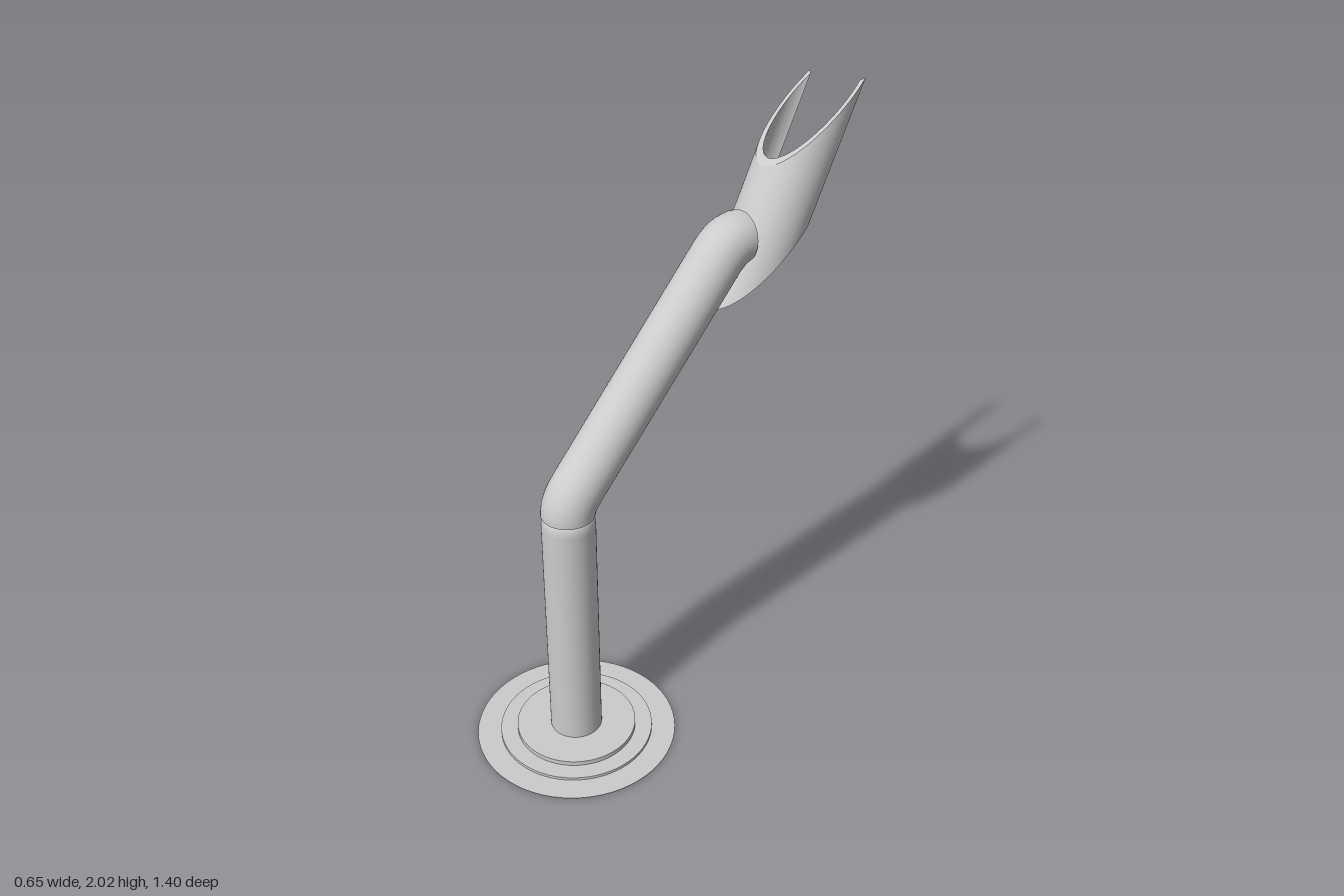
import * as THREE from 'three';
import { ParametricGeometry } from 'three/addons/geometries/ParametricGeometry.js';

const grey = new THREE.MeshStandardMaterial({ color: 0xcccccc });
const greyThin = new THREE.MeshStandardMaterial({ color: 0xcccccc, side: THREE.DoubleSide });
const POST_Z = 0.375;
const PIPE_R = 0.084;

function addMesh(parent, name, geometry, material = grey) {
  const mesh = new THREE.Mesh(geometry, material);
  mesh.name = name;
  parent.add(mesh);
  return mesh;
}

// Stepped floor plate: [name, radius, bottom, top]
function createBase() {
  const base = new THREE.Group();
  base.name = 'base';
  const steps = [
    ['floorPlate', 0.327, 0, 0.002],
    ['middleStep', 0.25, 0.002, 0.012],
    ['upperStep', 0.195, 0.012, 0.028],
  ];
  for (const [name, r, y0, y1] of steps) {
    const disc = addMesh(base, name, new THREE.CylinderGeometry(r, r, y1 - y0, 64));
    disc.position.set(0, (y0 + y1) / 2, POST_Z);
  }
  return base;
}

// Upright post with a rounded shoulder just below the joint
function createPost() {
  const profile = [[PIPE_R, 0.02], [PIPE_R, 0.835], [0.082, 0.852], [0.078, 0.864], [0.072, 0.872]];
  const points = profile.map(([r, y]) => new THREE.Vector2(r, y));
  const post = new THREE.Mesh(new THREE.LatheGeometry(points, 40), grey);
  post.name = 'post';
  post.position.z = POST_Z;
  return post;
}

// Bent arm: elbow, long slope, and a short turn into the cradle
function createArm() {
  const arm = new THREE.Group();
  arm.name = 'arm';
  const p = (x, y, z) => new THREE.Vector3(x, y, z);
  const lowEnd = p(0, 0.953, 0.335);
  const highStart = p(-0.009, 1.535, -0.21);
  const path = new THREE.CurvePath();
  path.add(new THREE.QuadraticBezierCurve3(p(0, 0.872, POST_Z), p(0, 0.911, POST_Z), lowEnd));
  path.add(new THREE.LineCurve3(lowEnd, highStart));
  path.add(new THREE.QuadraticBezierCurve3(highStart, p(-0.01, 1.588, -0.255), p(-0.01, 1.58, -0.305)));
  addMesh(arm, 'armPipe', new THREE.TubeGeometry(path, 90, PIPE_R, 40, false));

  // Flat discs closing both ends
  for (const [name, t, sign] of [['armLowerCap', 0, -1], ['armUpperCap', 1, 1]]) {
    const cap = addMesh(arm, name, new THREE.CircleGeometry(PIPE_R, 40));
    cap.position.copy(path.getPointAt(t));
    const outward = path.getTangentAt(t).multiplyScalar(sign);
    cap.quaternion.setFromUnitVectors(p(0, 0, 1), outward);
  }
  return arm;
}

// Open trough: a thin cylindrical shell with slanted end cuts
function createCradle() {
  const cradle = new THREE.Group();
  cradle.name = 'cradle';
  const R = 0.118, THICK = 0.014, LENGTH = 0.456;
  const HALF_ANGLE = THREE.MathUtils.degToRad(113);
  const keel = new THREE.Vector3(-0.006, 1.378, -0.188);
  const axis = new THREE.Vector3(-0.01, 0.89, -0.456).normalize();
  const depthDir = new THREE.Vector3(0, -0.456, -0.89).normalize();

  // s runs around the shell, t along it, w through its thickness
  const shell = (s, t, w, target) => {
    const angle = (s * 2 - 1) * HALF_ANGLE;
    const r = R - w * THICK;
    const x = r * Math.sin(angle);
    const depth = R - r * Math.cos(angle);
    const along = 2 * depth + t * LENGTH + x * (0.06 + 0.1 * t);
    target.copy(keel).addScaledVector(axis, along).addScaledVector(depthDir, depth);
    target.x += x;
  };
  const addFace = (name, fn, slices, stacks) =>
    addMesh(cradle, name, new ParametricGeometry(fn, slices, stacks), greyThin);

  addFace('cradleOuter', (u, v, out) => shell(u, v, 0, out), 48, 4);
  addFace('cradleInner', (u, v, out) => shell(1 - u, v, 1, out), 48, 4);
  addFace('cradleLowerRim', (u, v, out) => shell(1 - u, 0, v, out), 48, 1);
  addFace('cradleUpperRim', (u, v, out) => shell(u, 1, v, out), 48, 1);
  addFace('cradleRightLip', (u, v, out) => shell(0, v, 1 - u, out), 1, 4);
  addFace('cradleLeftLip', (u, v, out) => shell(1, v, u, out), 1, 4);
  return cradle;
}

export function createModel() {
  const model = new THREE.Group();
  model.name = 'standWithCradle';
  model.add(createBase(), createPost(), createArm(), createCradle());
  return model;
}
